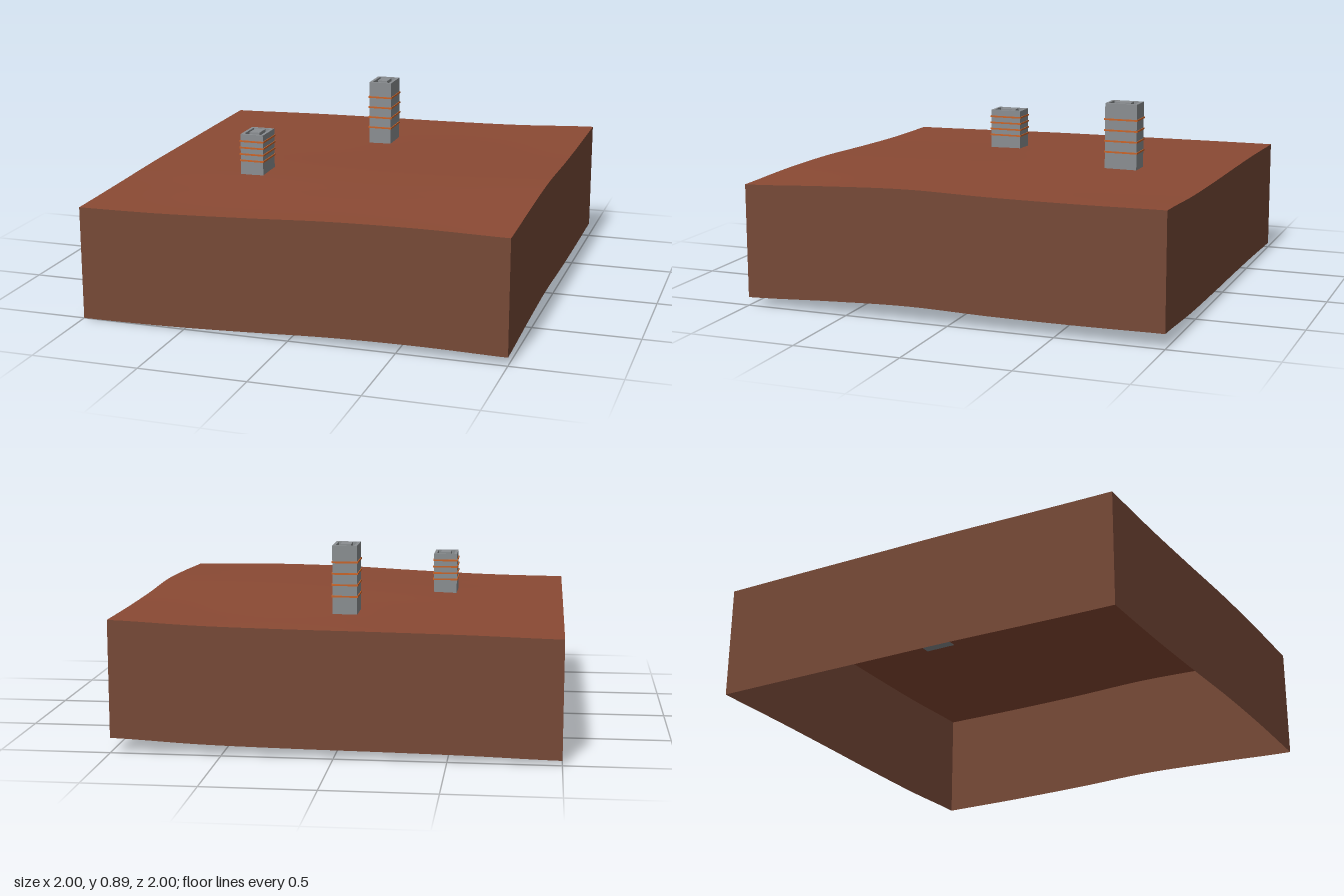
import * as THREE from 'three';

const mat = (name, color, side = THREE.FrontSide) => {
  const m = new THREE.MeshStandardMaterial({ color, side });
  m.name = name;
  return m;
};

// Edge heights of the ground, sampled every 0.4 units
const curve = (ys) => {
  const c = new THREE.SplineCurve(ys.map((y, i) => new THREE.Vector2(i, y)));
  return (t) => c.getPoint(t).y;
};
const back = curve([0.555, 0.565, 0.571, 0.575, 0.583, 0.601]);
const front = curve([0.533, 0.538, 0.553, 0.571, 0.577, 0.572]);
const rightEdge = curve([0.555, 0.553, 0.55, 0.547, 0.539, 0.533]);
const leftEdge = curve([0.601, 0.597, 0.598, 0.605, 0.591, 0.572]);
const DEPTH = 0.533;

// Smooth patch blended between the four edges
function height(x, z) {
  const u = (x + 1) / 2, v = (z + 1) / 2, L = THREE.MathUtils.lerp;
  return L(back(u), front(u), v) + L(rightEdge(v), leftEdge(v), u)
    - L(L(0.555, 0.601, u), L(0.533, 0.572, u), v);
}

// Skirt wall along one side of the ground, hanging from its edge
function wallGeometry(turn) {
  const g = new THREE.PlaneGeometry(2, 1, 32, 1).translate(0, 0, 1).rotateY(turn);
  const p = g.attributes.position;
  for (let i = 0; i < p.count; i++) {
    p.setY(i, height(p.getX(i), p.getZ(i)) - (p.getY(i) < 0 ? DEPTH : 0));
  }
  return g;
}

export function createModel() {
  const model = new THREE.Group();
  const soil = mat('red soil', 0x8b4a34, THREE.DoubleSide);
  const earth = mat('brown earth', 0x764937, THREE.DoubleSide);
  const concrete = mat('grey concrete', 0x8a8e91);
  const orange = mat('orange trim', 0xc8642a);

  const add = (parent, name, geometry, material, x = 0, y = 0, z = 0) => {
    const m = new THREE.Mesh(geometry, material);
    m.name = name;
    m.position.set(x, y, z);
    parent.add(m);
  };

  // Rolling ground surface
  const top = new THREE.PlaneGeometry(2, 2, 32, 32).rotateX(-Math.PI / 2);
  const p = top.attributes.position;
  for (let i = 0; i < p.count; i++) p.setY(i, height(p.getX(i), p.getZ(i)));
  top.computeVertexNormals();
  add(model, 'ground', top, soil);

  // Four walls, open underneath
  ['frontWall', 'leftWall', 'backWall', 'rightWall'].forEach((name, i) =>
    add(model, name, wallGeometry(i * Math.PI / 2), earth));

  // Towers with a parapet, a roof box and thin floor bands
  const W = 0.114, D = 0.158, RIM = 0.014;
  const tower = (name, x, z, topY, bands) => {
    const g = new THREE.Group();
    g.name = name;
    g.position.set(x, 0, z);
    const base = height(x, z) - 0.001, roof = topY - 0.02;
    add(g, 'body', new THREE.BoxGeometry(W, roof - base, D), concrete, 0, (roof + base) / 2, 0);
    for (const s of [-1, 1]) {
      add(g, 'sideParapet', new THREE.BoxGeometry(RIM, 0.017, D), concrete, s * (W - RIM) / 2, roof + 0.0085, 0);
      add(g, 'endParapet', new THREE.BoxGeometry(W - 2 * RIM, 0.017, RIM), concrete, 0, roof + 0.0085, s * (D - RIM) / 2);
    }
    add(g, 'roofBox', new THREE.BoxGeometry(0.05, 0.02, 0.08), concrete, 0, roof + 0.01, 0);
    for (const y of bands) {
      add(g, 'floorBand', new THREE.BoxGeometry(W + 0.008, 0.008, D + 0.008), orange, 0, y, 0);
    }
    model.add(g);
  };
  tower('tallTower', -0.002, -0.5, 0.893, [0.655, 0.708, 0.76, 0.813]);
  tower('shortTower', -0.417, 0.25, 0.762, [0.63, 0.661, 0.693, 0.725]);

  // Small buried footing, showing only beneath the ground
  add(model, 'footing', new THREE.BoxGeometry(0.065, 0.01, 0.08), concrete, -0.137, height(-0.137, 0.09) - 0.007, 0.09);
  return model;
}
